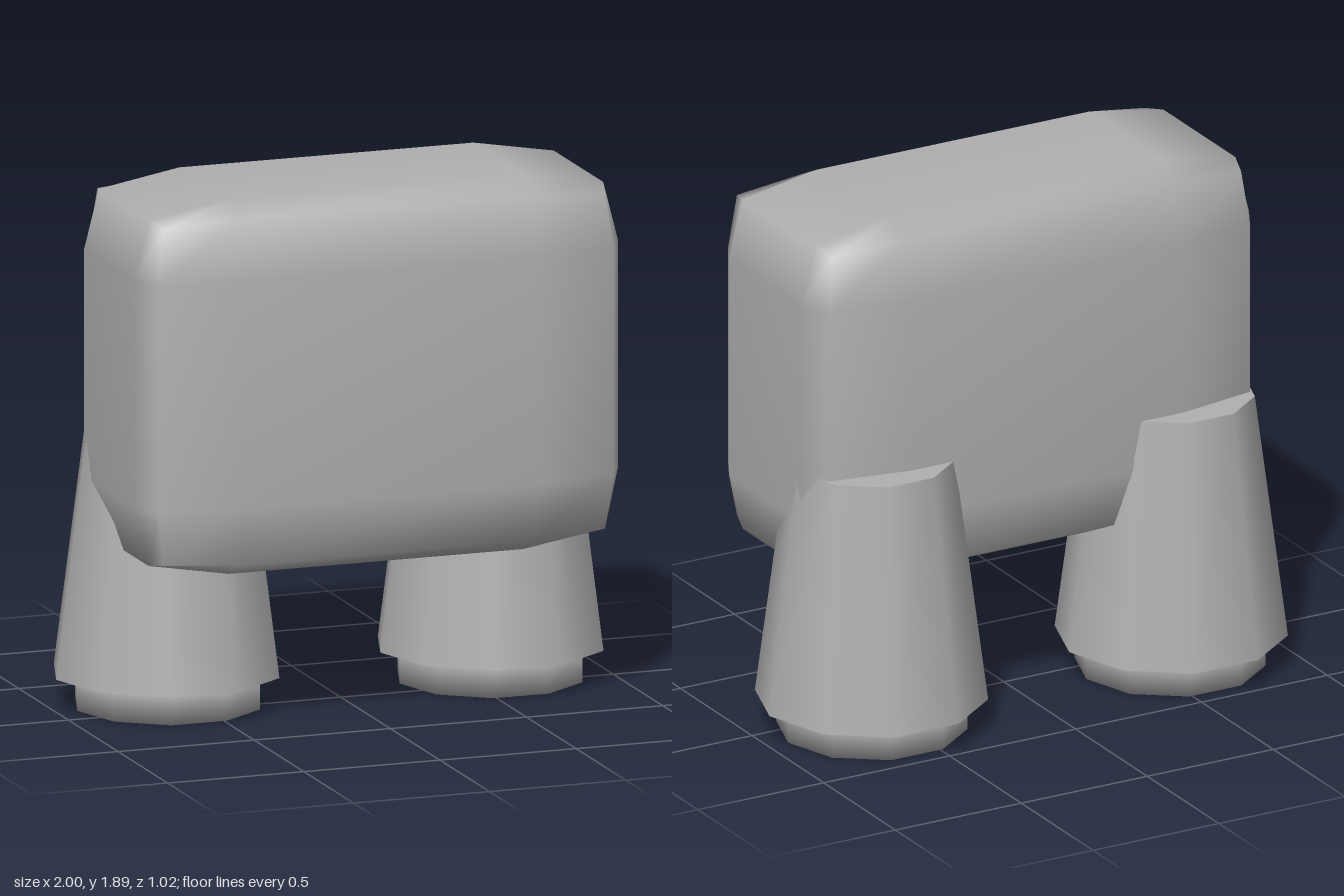
import * as THREE from 'three';
import { mergeVertices } from 'three/addons/utils/BufferGeometryUtils.js';

// Half sizes of the body per axis: flat area, corner, rounded edge, face
const HALF = [
  { flat: 0.54, corner: 0.81, edge: 0.835, face: 0.89 },
  { flat: 0.40, corner: 0.595, edge: 0.613, face: 0.665 },
  { flat: 0.25, corner: 0.335, edge: 0.353, face: 0.406 },
];

// Weld vertices so that shading runs smoothly over the edges
function smooth(geometry) {
  geometry.deleteAttribute('uv');
  geometry.deleteAttribute('normal');
  const welded = mergeVertices(geometry);
  welded.computeVertexNormals();
  return welded;
}

// Box of 3 x 3 x 3 cells whose edges and corners are pulled inwards
function softBox() {
  const geometry = new THREE.BoxGeometry(2, 2, 2, 3, 3, 3);
  const pos = geometry.attributes.position;
  for (let i = 0; i < pos.count; i++) {
    const p = [pos.getX(i), pos.getY(i), pos.getZ(i)];
    const outer = p.map((v) => Math.abs(v) > 0.9);
    const kind = ['flat', 'face', 'edge', 'corner'][outer.filter(Boolean).length];
    const q = p.map((v, a) => Math.sign(v) * HALF[a][outer[a] ? kind : 'flat']);
    pos.setXYZ(i, ...q);
  }
  return smooth(geometry);
}

// Ten-sided column with a corner pointing sideways
function column(top, bottom, height) {
  return new THREE.CylinderGeometry(top, bottom, height, 10, 1, false, Math.PI / 2);
}

export function createModel() {
  const model = new THREE.Group();
  const grey = new THREE.MeshStandardMaterial({ color: 0xb0b0b0 });
  grey.name = 'grey';

  function add(name, geometry, x, y, z) {
    const mesh = new THREE.Mesh(geometry, grey);
    mesh.name = name;
    mesh.position.set(x, y, z);
    model.add(mesh);
  }

  add('body', softBox(), 0, 1.225, 0.104);

  // Tapered legs with a narrower foot below
  for (const [side, s] of [['left', 1], ['right', -1]]) {
    add(side + 'Leg', column(0.29, 0.405, 0.885), s * 0.595, 0.5575, -0.122);
    add(side + 'Foot', smooth(column(0.332, 0.332, 0.13)), s * 0.592, 0.065, -0.119);
  }
  return model;
}
